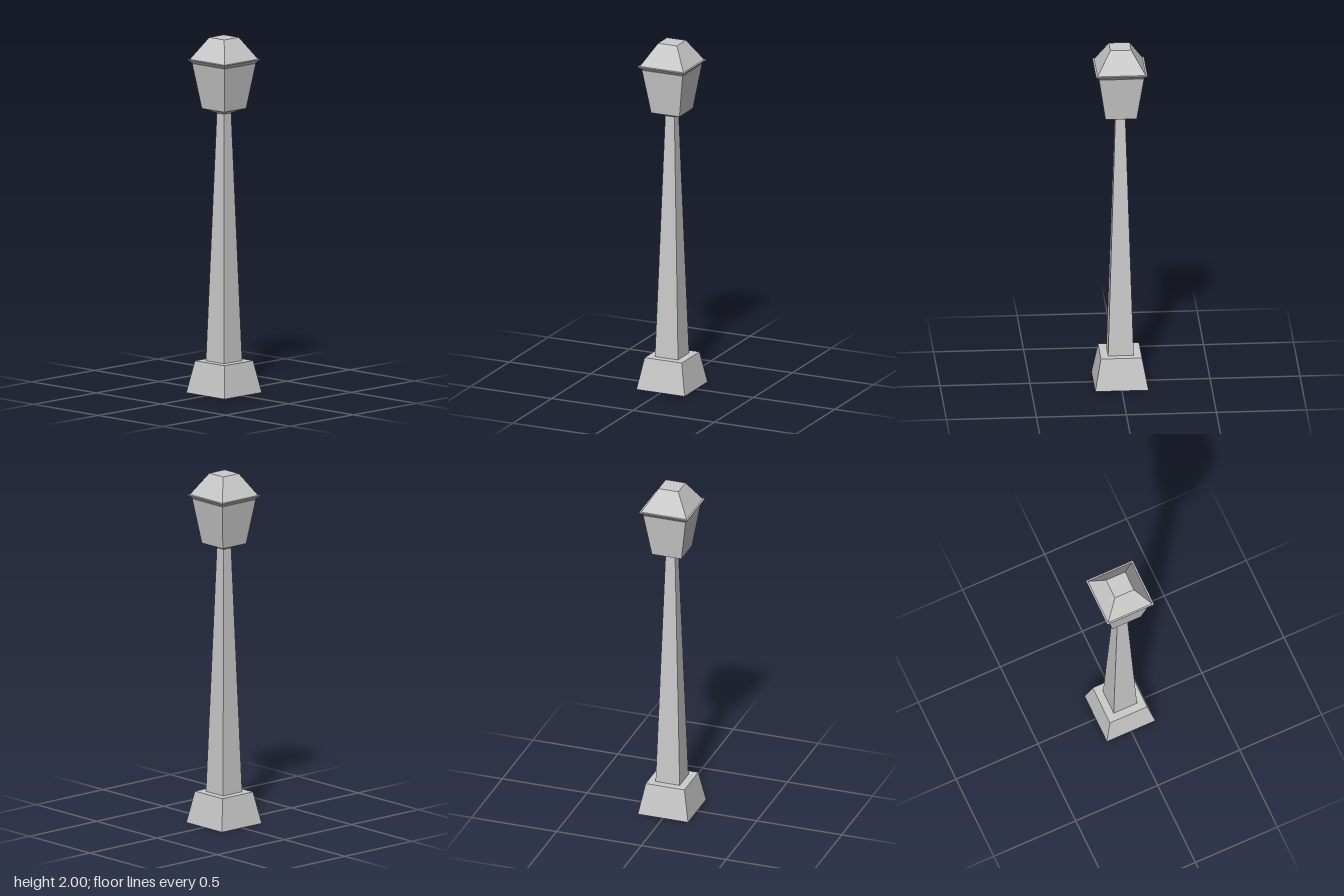
import * as THREE from 'three';

const material = new THREE.MeshStandardMaterial({ color: 0xcccccc, flatShading: true });

// Square tapered block given by its half widths and heights
function taper(name, y0, half0, y1, half1) {
  const geometry = new THREE.CylinderGeometry(half1 * Math.SQRT2, half0 * Math.SQRT2, y1 - y0, 4);
  geometry.rotateY(Math.PI / 4);
  geometry.translate(0, (y0 + y1) / 2, 0);
  const mesh = new THREE.Mesh(geometry, material);
  mesh.name = name;
  return mesh;
}

export function createModel() {
  const model = new THREE.Group();
  model.name = 'streetLamp';

  // Foot and tapering post
  model.add(taper('base', 0, 0.148, 0.18, 0.114));
  model.add(taper('post', 0.18, 0.071, 1.58, 0.028));

  // Lantern: flared underside, then the body widening upwards
  const lantern = new THREE.Group();
  lantern.name = 'lantern';
  lantern.add(taper('lanternUnderside', 1.575, 0.03, 1.6, 0.087));
  lantern.add(taper('lanternBody', 1.6, 0.087, 1.853, 0.125));
  model.add(lantern);

  // Roof: sloped eave, thin lip and a truncated pyramid
  const roof = new THREE.Group();
  roof.name = 'roof';
  roof.add(taper('eave', 1.853, 0.122, 1.873, 0.143));
  roof.add(taper('lip', 1.873, 0.143, 1.877, 0.143));
  roof.add(taper('cap', 1.877, 0.134, 2, 0.058));
  model.add(roof);

  return model;
}
